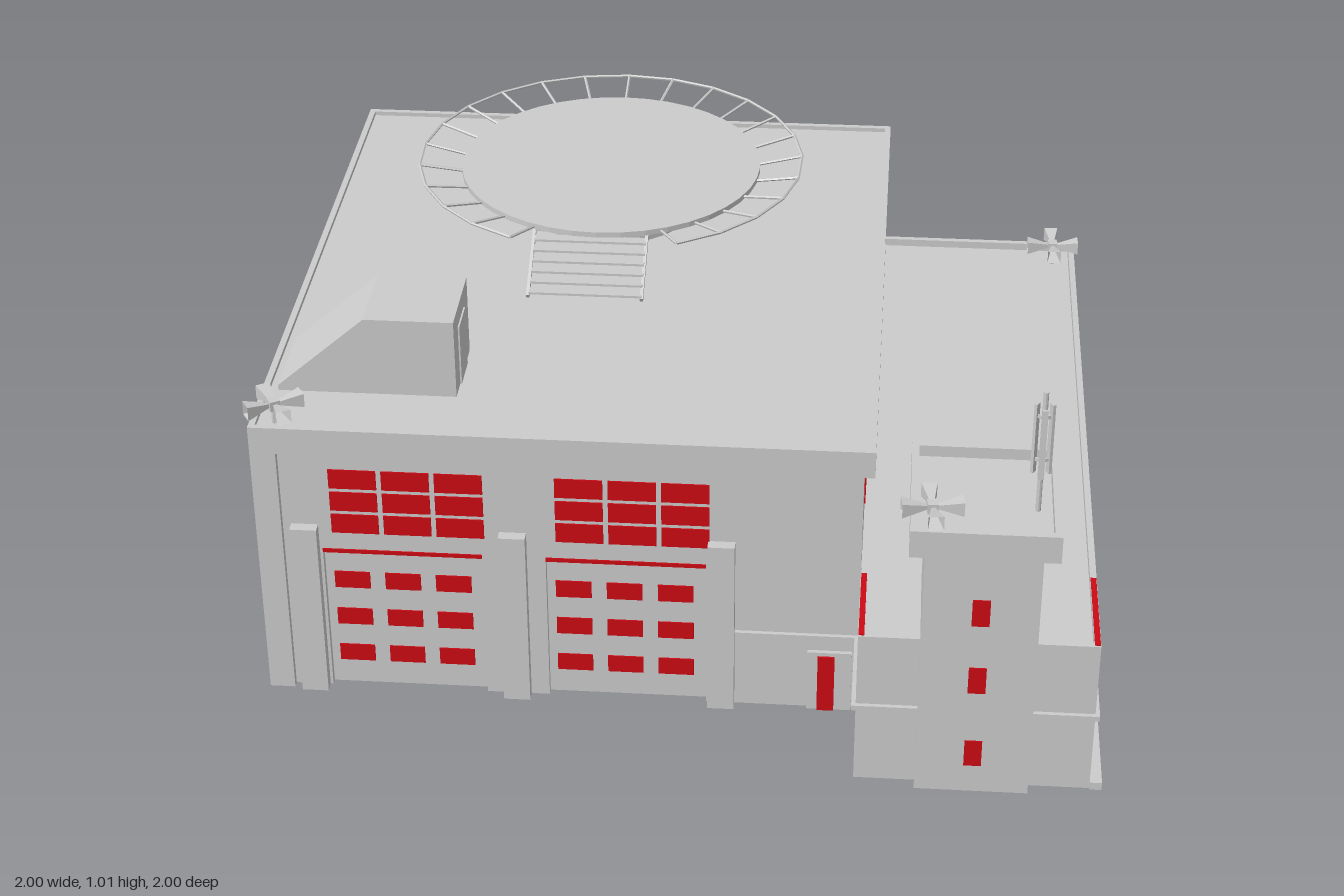
import * as THREE from 'three';

const grey = new THREE.MeshStandardMaterial({ color: 0xcccccc, flatShading: true, side: THREE.DoubleSide });
const red = new THREE.MeshStandardMaterial({ color: 0xcc0a14, flatShading: true, side: THREE.DoubleSide });

export function createModel() {
  const model = new THREE.Group();

  const add = (name, geo, mat = grey, parent = model) => {
    const m = new THREE.Mesh(geo, mat);
    m.name = name;
    parent.add(m);
    return m;
  };
  // Box given by its limits on each axis
  const box = (name, x0, x1, y0, y1, z0, z1, mat = grey, parent = model) => {
    const m = add(name, new THREE.BoxGeometry(x1 - x0, y1 - y0, z1 - z0), mat, parent);
    m.position.set((x0 + x1) / 2, (y0 + y1) / 2, (z0 + z1) / 2);
    return m;
  };
  // Four walls, open above and below
  const ring = (name, x0, x1, y0, y1, z0, z1, t) => {
    box(name, x0, x1, y0, y1, z1 - t, z1);
    box(name, x0, x1, y0, y1, z0, z0 + t);
    box(name, x0, x0 + t, y0, y1, z0 + t, z1 - t);
    box(name, x1 - t, x1, y0, y1, z0 + t, z1 - t);
  };
  // Grid of red panes running through a wall; axis is the horizontal direction of the wall
  const panes = (name, axis, a0, a1, y0, y1, cols, rows, d0, d1, gapA = 0.012, gapY = 0.01) => {
    const w = (a1 - a0 + gapA) / cols, h = (y1 - y0 + gapY) / rows;
    for (let i = 0; i < cols; i++) for (let j = 0; j < rows; j++) {
      const a = a0 + i * w, y = y0 + j * h, b = a + w - gapA, t = y + h - gapY;
      if (axis === 'x') box(name, a, b, y, t, d0, d1, red);
      else box(name, d0, d1, y, t, a, b, red);
    }
  };

  // Front wall with two garage openings
  const wall = new THREE.Shape();
  [[-0.98, 0], [-0.83, 0], [-0.83, 0.395], [-0.455, 0.395], [-0.455, 0], [-0.305, 0], [-0.305, 0.395],
    [0.07, 0.395], [0.07, 0], [0.43, 0], [0.43, 0.7], [-0.98, 0.7]]
    .forEach(([x, y], i) => (i ? wall.lineTo(x, y) : wall.moveTo(x, y)));
  add('frontWall', new THREE.ExtrudeGeometry(wall, { depth: 0.015, bevelEnabled: false })).position.z = 0.63;

  // Garage doors with windows above
  for (const x of [-0.83, -0.305]) {
    box('garageDoor', x, x + 0.375, 0, 0.395, 0.615, 0.628);
    box('doorLintel', x, x + 0.375, 0.387, 0.397, 0.629, 0.648, red);
    panes('garageDoorWindow', 'x', x + 0.02, x + 0.345, 0.065, 0.322, 3, 3, 0.612, 0.631, 0.036, 0.06);
    panes('frontWindow', 'x', x + 0.025, x + 0.383, 0.444, 0.618, 3, 3, 0.627, 0.648);
  }
  for (const x of [-0.9, -0.412, 0.075]) box('doorPier', x, x + 0.063, 0, 0.463, 0.645, 0.672);

  // Remaining hall walls, corner piers, parapet and roof
  box('leftWall', -0.98, -0.965, 0, 0.7, -0.985, 0.645);
  box('backWall', -0.98, 0.43, 0, 0.7, -0.985, -0.97);
  box('rightWall', 0.415, 0.43, 0.37, 0.7, -0.985, 0.645);
  box('cornerPier', -0.98, -0.92, 0, 0.665, 0.645, 0.662);
  box('cornerPier', -0.98, -0.92, 0, 0.665, -1, -0.985);
  ring('parapet', -0.98, 0.455, 0.665, 0.733, -1, 0.662, 0.015);
  box('parapetSoffit', -0.965, 0.44, 0.665, 0.675, 0.63, 0.65);
  box('parapetSoffit', -0.965, 0.44, 0.665, 0.675, -0.99, -0.97);
  box('parapetSoffit', 0.415, 0.442, 0.665, 0.675, -0.985, 0.645);
  box('hallRoof', -0.966, 0.441, 0.705, 0.722, -0.986, 0.648);

  // Hall windows on the right, back and left
  for (const z of [0.35, 0.155, -0.04, -0.415, -0.615, -0.81])
    panes('sideWindow', 'z', z, z + 0.133, 0.477, 0.545, 3, 3, 0.412, 0.433, 0.008, 0.008);
  panes('sideWindow', 'z', -0.2, -0.155, 0.5, 0.536, 1, 1, 0.412, 0.433);
  panes('backWindow', 'x', -0.725, 0.21, 0.444, 0.618, 8, 3, -0.988, -0.967);
  panes('leftWindow', 'z', 0.15, 0.36, 0.45, 0.57, 3, 1, -0.983, -0.962, 0.02);
  for (const z of [-0.82, -0.45]) {
    box('leftDoorFrame', -0.986, -0.962, 0, 0.165, z - 0.012, z + 0.102);
    box('leftDoor', -0.989, -0.959, 0, 0.155, z, z + 0.09, red);
  }
  box('blankSignBoard', -0.996, -0.98, 0.555, 0.65, -0.85, 0.03);

  // Small front door
  box('frontDoorFrame', 0.31, 0.415, 0, 0.165, 0.627, 0.655);
  box('frontDoor', 0.335, 0.375, 0, 0.155, 0.624, 0.66, red);

  // Low side wing
  box('wingRightWall', 0.957, 0.972, 0, 0.4, -0.985, 0.905);
  box('wingFrontWall', 0.43, 0.957, 0, 0.4, 0.89, 0.905);
  box('wingLeftWall', 0.43, 0.445, 0, 0.4, 0.645, 0.89);
  box('wingBackWall', 0.43, 0.957, 0, 0.4, -0.985, -0.97);
  box('wingRoof', 0.43, 0.958, 0.365, 0.38, -0.972, 0.892);
  box('wingTrim', 0.431, 0.444, 0.398, 0.403, 0.66, 0.9, red);
  box('wingTrim', 0.958, 0.971, 0.398, 0.403, 0.64, 0.9, red);
  // String course and plinth
  box('stringCourse', 0.972, 0.982, 0.2, 0.213, -0.995, 0.915);
  box('stringCourse', 0.42, 0.972, 0.2, 0.213, 0.905, 0.915);
  box('stringCourse', 0.42, 0.43, 0.2, 0.213, 0.645, 0.915);
  box('stringCourse', 0.138, 0.43, 0.2, 0.213, 0.645, 0.655);
  box('stringCourse', -0.92, 0.972, 0.2, 0.213, -0.995, -0.985);
  box('plinth', 0.972, 1, 0, 0.02, -1, 0.91);
  box('plinth', 0.785, 0.972, 0, 0.02, -1, -0.985);
  box('plinth', -0.92, 0.61, 0, 0.02, -1, -0.985);
  box('plinthEnd', 0.975, 1, 0.019, 0.022, -1, -0.975, red);
  box('backDoor', 0.625, 0.77, 0, 0.16, -0.99, -0.965);

  // Corner tower
  ring('towerWall', 0.57, 0.83, 0, 0.7, 0.645, 0.935, 0.012);
  ring('towerParapet', 0.535, 0.865, 0.665, 0.733, 0.605, 0.97, 0.017);
  box('towerRoof', 0.55, 0.85, 0.668, 0.705, 0.62, 0.955);
  for (const y of [0.075, 0.28, 0.465])
    panes('towerWindow', 'x', 0.68, 0.72, y, y + 0.07, 1, 1, 0.92, 0.938);
  panes('towerWindow', 'x', 0.68, 0.72, 0.465, 0.535, 1, 1, 0.642, 0.66);
  panes('towerWindow', 'z', 0.77, 0.81, 0.465, 0.535, 1, 1, 0.815, 0.833);

  // Antenna mast with three panels
  const antenna = new THREE.Group();
  antenna.name = 'antenna';
  antenna.position.set(0.815, 0, 0.825);
  model.add(antenna);
  add('mast', new THREE.CylinderGeometry(0.006, 0.006, 0.31, 8), grey, antenna).position.y = 0.855;
  for (let i = 0; i < 3; i++) {
    const arm = new THREE.Group();
    arm.name = 'antennaArm';
    arm.rotation.y = i * Math.PI * 2 / 3 + 0.5;
    antenna.add(arm);
    box('antennaPanel', 0.016, 0.023, 0.74 + 0.06, 0.975, -0.007, 0.007, grey, arm);
    for (const y of [0.83, 0.94]) box('bracket', 0, 0.018, y, y + 0.008, -0.002, 0.002, grey, arm);
  }

  // Clusters of four horn loudspeakers
  for (const [x, y, z, turn] of [[-0.925, 0.722, 0.615, 0.55], [0.582, 0.722, 0.925, 0.12], [0.91, 0.39, -0.895, 0.05]]) {
    const g = new THREE.Group();
    g.name = 'loudspeakers';
    g.position.set(x, y, z);
    g.rotation.y = turn;
    model.add(g);
    add('post', new THREE.CylinderGeometry(0.007, 0.007, 0.055, 8), grey, g).position.y = 0.022;
    box('hub', -0.012, 0.012, 0.036, 0.06, -0.012, 0.012, grey, g);
    for (let i = 0; i < 4; i++) {
      const geo = new THREE.CylinderGeometry(0.025, 0.006, 0.058, 4, 1, true);
      geo.rotateY(Math.PI / 4).rotateZ(-Math.PI / 2).translate(0.039, 0.048, 0).rotateY(i * Math.PI / 2);
      add('horn', geo, grey, g);
    }
  }

  // Roof hut with a sloping back
  const hut = new THREE.Shape();
  hut.moveTo(-0.945, 0.72);
  hut.lineTo(-0.525, 0.72);
  hut.lineTo(-0.525, 0.92);
  hut.lineTo(-0.735, 0.92);
  hut.lineTo(-0.945, 0.735);
  add('roofHut', new THREE.ExtrudeGeometry(hut, { depth: 0.215, bevelEnabled: false })).position.z = 0.26;
  box('hutDoor', -0.53, -0.521, 0.722, 0.875, 0.32, 0.415);

  // Helicopter pad
  const pad = new THREE.Group();
  pad.name = 'landingPad';
  pad.position.set(-0.26, 0, -0.505);
  model.add(pad);
  add('padDrum', new THREE.CylinderGeometry(0.215, 0.215, 0.12, 24), grey, pad).position.y = 0.777;
  add('padDeck', new THREE.CylinderGeometry(0.385, 0.385, 0.014, 40), grey, pad).position.y = 0.84;

  // Safety rim of radial bars and an outer rail, open at the stairs
  const at = (r, a, y) => new THREE.Vector3(Math.sin(a) * r, y, Math.cos(a) * r);
  const bar = (name, p, q) =>
    add(name, new THREE.TubeGeometry(new THREE.LineCurve3(p, q), 1, 0.004, 5), grey, pad);
  const n = 22, start = 0.43, step = (Math.PI * 2 - 2 * start) / n;
  for (let i = 0; i <= n; i++) {
    const a = start + i * step;
    bar('rimBar', at(0.38, a, 0.838), at(0.493, a, 0.86));
    if (i < n) bar('rimRail', at(0.493, a, 0.86), at(0.493, a + step, 0.86));
  }

  // Stairs up to the pad
  for (let i = 0; i < 7; i++) {
    const y = 0.738 + i * 0.0155, z = -0.012 - i * 0.026;
    box('stairTread', -0.415, -0.137, y - 0.004, y + 0.002, z - 0.014, z + 0.014);
  }
  for (const x of [-0.418, -0.137]) {
    const rail = box('stairStringer', x - 0.004, x + 0.004, 0.775, 0.787, -0.195, 0.015);
    rail.rotation.x = 0.53;
  }
  return model;
}
